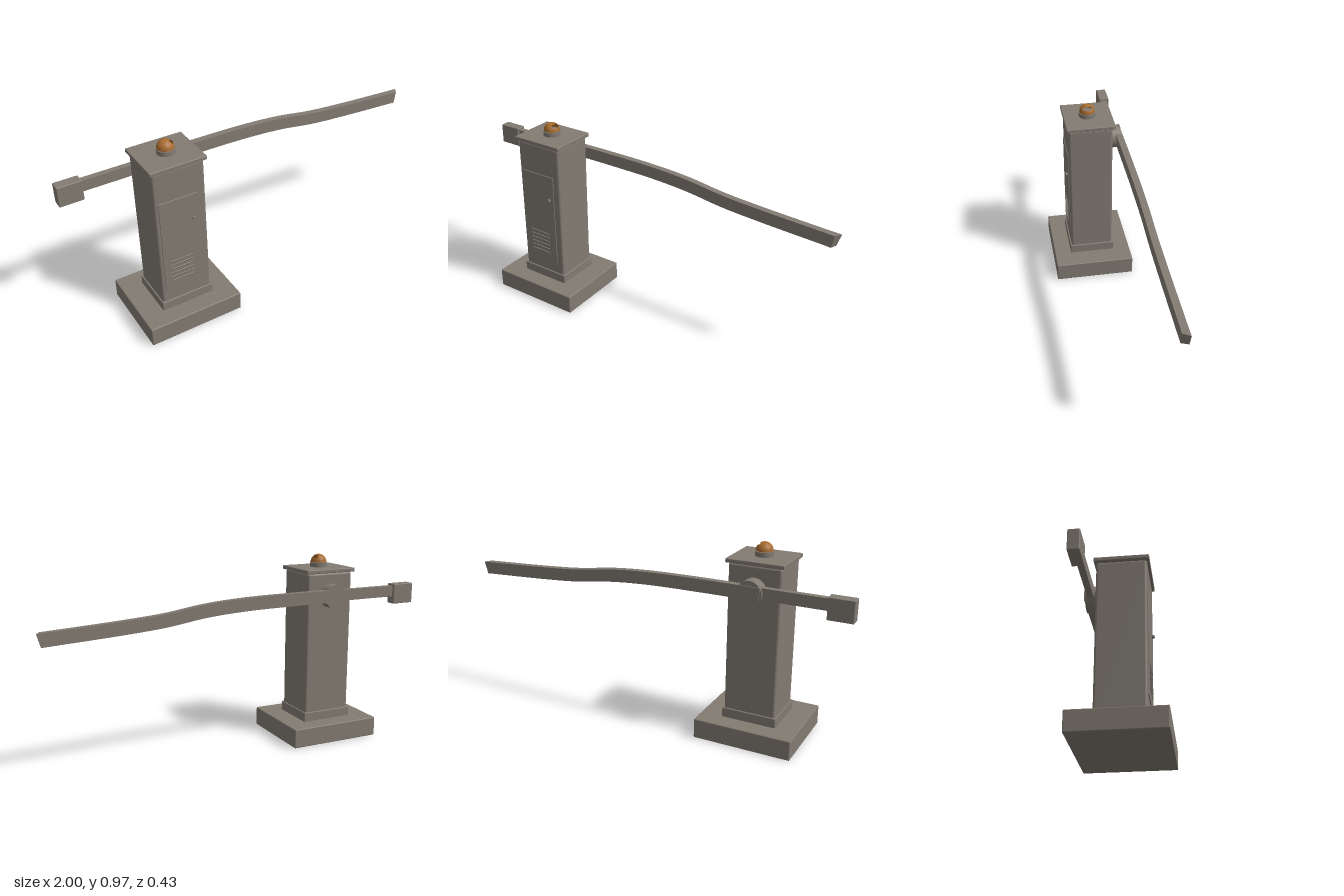
import * as THREE from 'three';
import { RoundedBoxGeometry } from 'three/addons/geometries/RoundedBoxGeometry.js';

const CX = -0.52; // axis of the cabinet

export function createModel() {
  const group = new THREE.Group();
  group.name = 'barrierGate';

  const steel = new THREE.MeshStandardMaterial({ color: 0x827b72 });
  steel.name = 'weathered grey';
  const amber = new THREE.MeshStandardMaterial({ color: 0xa86c30, side: THREE.DoubleSide });
  amber.name = 'amber lens';

  const add = (name, geometry, material = steel) => {
    const mesh = new THREE.Mesh(geometry, material);
    mesh.name = name;
    group.add(mesh);
    return mesh;
  };

  // box given by its limits, with optional rounded edges
  const block = (name, [x0, x1], [y0, y1], [z0, z1], r = 0) => {
    const size = [x1 - x0, y1 - y0, z1 - z0];
    const geo = r ? new RoundedBoxGeometry(...size, 3, r) : new THREE.BoxGeometry(...size);
    const mesh = add(name, geo);
    mesh.position.set((x0 + x1) / 2, (y0 + y1) / 2, (z0 + z1) / 2);
    return mesh;
  };

  // pedestal and cabinet
  block('basePlate', [-0.767, -0.275], [0, 0.1], [-0.215, 0.215], 0.005);
  block('plinth', [-0.658, -0.384], [0.095, 0.148], [-0.123, 0.123], 0.003);
  block('cabinet', [-0.651, -0.391], [0.11, 0.88], [-0.116, 0.116], 0.012);
  block('capPlate', [-0.663, -0.379], [0.88, 0.9], [-0.127, 0.127], 0.004);

  // service door with knob and vent louvers
  block('door', [-0.632, -0.43], [0.213, 0.72], [0.112, 0.12], 0.002);
  const knob = add('doorKnob', new THREE.CylinderGeometry(0.009, 0.009, 0.012, 16));
  knob.rotation.x = Math.PI / 2;
  knob.position.set(-0.46, 0.585, 0.125);
  for (let i = 0; i < 6; i++) {
    const y = 0.26 + i * 0.023;
    const slat = block('ventLouver', [-0.595, -0.475], [y, y + 0.006], [0.117, 0.123]);
    slat.rotation.x = 0.4;
  }

  // warning lamp: collar and dome with a broken-out patch facing +x
  const collar = add('lampCollar', new THREE.CylinderGeometry(0.044, 0.044, 0.024, 32));
  collar.position.set(CX, 0.911, 0);
  const R = 0.041;
  const hole = THREE.MathUtils.degToRad(48);
  const low = THREE.MathUtils.degToRad(60);
  const high = THREE.MathUtils.degToRad(30);
  const domeParts = [
    ['lampDomeTop', 0, Math.PI * 2, 0, high],
    ['lampDomeSide', hole, Math.PI * 2 - 2 * hole, high, low - high],
    ['lampDomeLower', 0, Math.PI * 2, low, Math.PI / 2 - low],
  ];
  for (const [name, phi, phiLen, theta, thetaLen] of domeParts) {
    const dome = add(name, new THREE.SphereGeometry(R, 32, 6, phi + Math.PI, phiLen, theta, thetaLen), amber);
    dome.position.set(CX, 0.925, 0);
  }

  // pivot hub on the back of the cabinet
  const hub = add('pivotHub', new THREE.CylinderGeometry(0.061, 0.061, 0.064, 32));
  hub.rotation.x = Math.PI / 2;
  hub.position.set(CX, 0.764, -0.145);

  // counterweight side
  block('counterArm', [-0.89, -0.5], [0.74, 0.796], [-0.165, -0.135]);
  block('counterweight', [-1, -0.88], [0.702, 0.806], [-0.178, -0.124], 0.004);

  // bent boom: a box strip following a sagging centre line
  const line = new THREE.CatmullRomCurve3([
    [-0.57, 0.769], [-0.3, 0.769], [0, 0.764], [0.2, 0.75], [0.4, 0.722], [0.6, 0.706], [0.98, 0.685],
  ].map(([x, y]) => new THREE.Vector3(x, y, 0)), false, 'centripetal');
  const boom = new THREE.BoxGeometry(1, 0.063, 0.034, 40, 1, 1);
  const p = boom.attributes.position;
  for (let i = 0; i < p.count; i++) {
    const t = p.getX(i) + 0.5;
    const c = line.getPoint(t);
    const up = p.getY(i);
    const back = p.getZ(i) < 0;
    let x = c.x;
    // jagged slanted tip
    if (t > 0.999) x = up > 0 ? (back ? 0.996 : 0.975) : (back ? 0.978 : 0.965);
    p.setXYZ(i, x, c.y + up, p.getZ(i) - 0.165);
  }
  boom.computeVertexNormals();
  add('boom', boom);

  return group;
}
